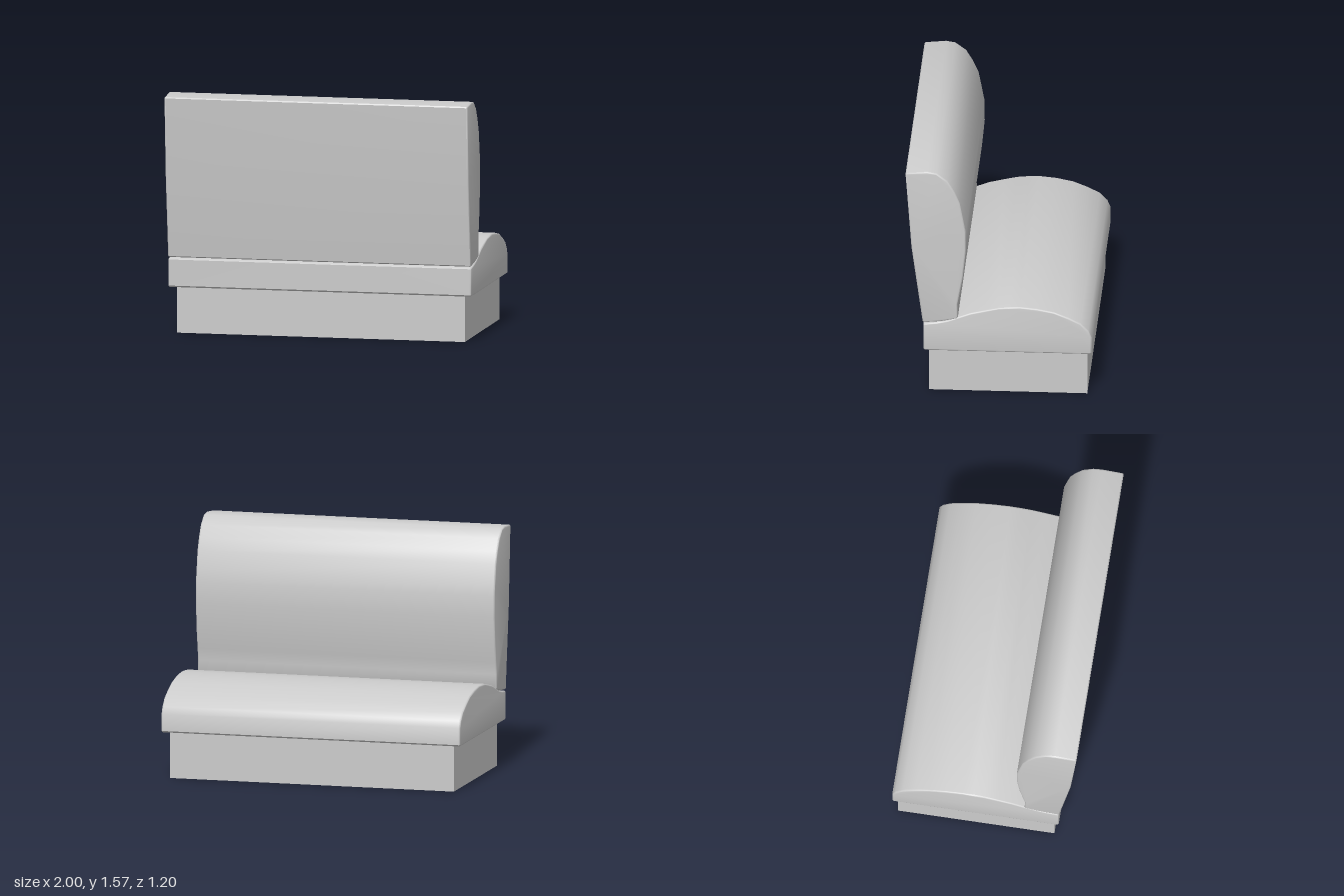
import * as THREE from 'three';
import { toCreasedNormals } from 'three/addons/utils/BufferGeometryUtils.js';

const WIDTH = 2;
const BEVEL = 0.01;

// Side profile given as [z, y] points, swept across the width with softened ends
function cushion(name, profile, material) {
  const shape = new THREE.Shape(profile.map(([z, y]) => new THREE.Vector2(z, y)));
  const depth = WIDTH - 2 * BEVEL;
  const geometry = new THREE.ExtrudeGeometry(shape, {
    depth,
    bevelThickness: BEVEL,
    bevelSize: BEVEL,
    bevelOffset: -BEVEL,
    bevelSegments: 3,
  });
  geometry.translate(0, 0, -depth / 2);
  geometry.rotateY(-Math.PI / 2);
  const mesh = new THREE.Mesh(toCreasedNormals(geometry, 0.7), material);
  mesh.name = name;
  return mesh;
}

export function createModel() {
  const group = new THREE.Group();
  group.name = 'boothBench';
  const material = new THREE.MeshStandardMaterial({ color: 0xcccccc });

  // Plinth, set in from the cushion on every side
  const base = new THREE.Mesh(new THREE.BoxGeometry(1.9, 0.3, 1.02), material);
  base.name = 'base';
  base.position.set(0, 0.15, -0.06);
  group.add(base);

  // Seat cushion, domed towards its free edge at -z
  group.add(cushion('seat', [
    [-0.59, 0.3], [0.475, 0.3], [0.485, 0.31], [0.485, 0.48], [0.475, 0.488],
    [0.4, 0.498], [0.33, 0.513], [0.26, 0.54], [0.18, 0.57], [0.09, 0.592],
    [0, 0.612], [-0.07, 0.619], [-0.14, 0.622], [-0.25, 0.612], [-0.36, 0.59],
    [-0.45, 0.555], [-0.53, 0.515], [-0.58, 0.465], [-0.6, 0.42], [-0.6, 0.31],
  ], material));

  // Backrest, bulging over the seat and leaning back towards +z
  group.add(cushion('backrest', [
    [0.48, 0.496], [0.49, 0.503], [0.562, 1.03], [0.6, 1.545], [0.594, 1.553],
    [0.46, 1.567], [0.4, 1.557], [0.33, 1.505], [0.285, 1.43], [0.25, 1.35],
    [0.225, 1.22], [0.212, 1.15], [0.211, 1.01], [0.23, 0.82], [0.25, 0.71],
    [0.265, 0.63], [0.262, 0.54], [0.27, 0.528], [0.37, 0.507],
  ], material));

  return group;
}
